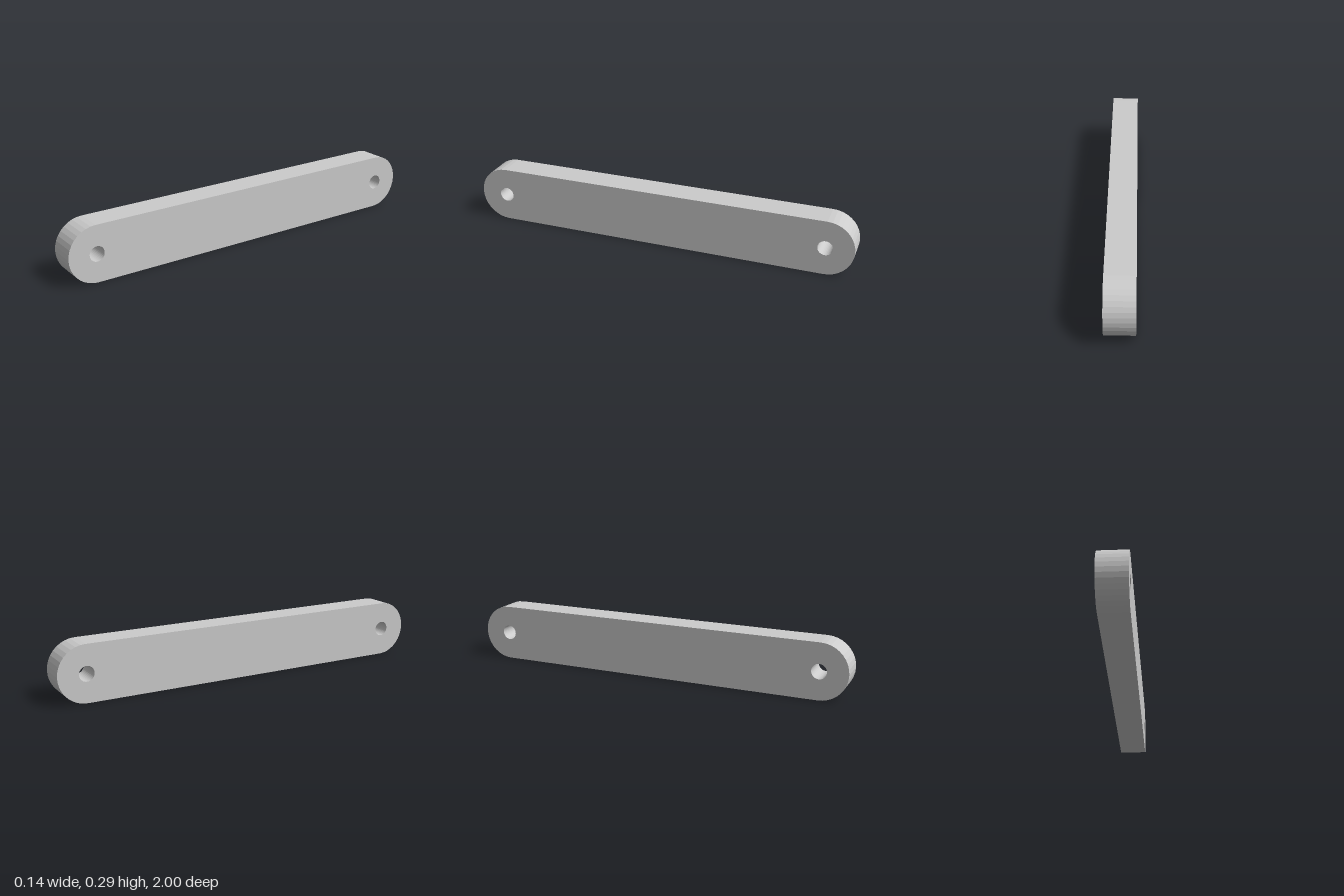
import * as THREE from 'three';

const R = 1 / 7;          // end radius, half the bar height
const HOLE_R = 0.038;
const END = 1 - R;        // distance of the end centres from the middle
const THICKNESS = 1 / 7;

export function createModel() {
  const group = new THREE.Group();
  group.name = 'linkBar';

  // Rounded bar outline
  const outline = new THREE.Shape();
  outline.absarc(END, R, R, -Math.PI / 2, Math.PI / 2, false);
  outline.absarc(-END, R, R, Math.PI / 2, Math.PI * 1.5, false);
  outline.closePath();

  // Pin hole at each end, drawn as two half circles
  for (const side of [-1, 1]) {
    const hole = new THREE.Path();
    hole.absarc(side * END, R, HOLE_R, 0, Math.PI, false);
    hole.absarc(side * END, R, HOLE_R, Math.PI, Math.PI * 2, false);
    outline.holes.push(hole);
  }

  // Extrude across the thickness, then lay the length along z
  const geometry = new THREE.ExtrudeGeometry(outline, {
    depth: THICKNESS, bevelEnabled: false, curveSegments: 9,
  });
  geometry.translate(0, 0, -THICKNESS / 2);
  geometry.rotateY(Math.PI / 2);

  const bar = new THREE.Mesh(
    geometry,
    new THREE.MeshStandardMaterial({ color: 0xcccccc, flatShading: true }),
  );
  bar.name = 'bar';
  group.add(bar);
  return group;
}
